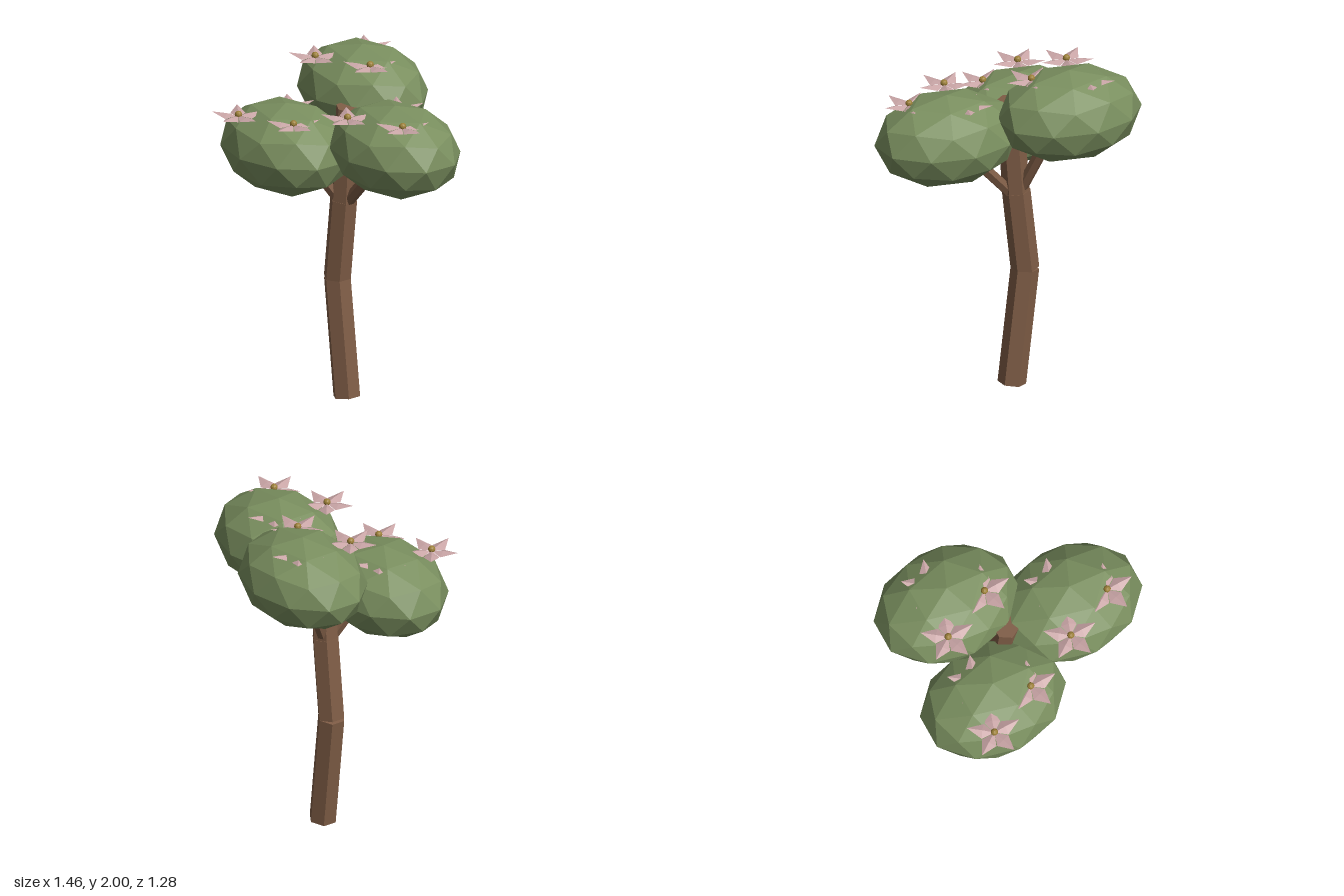
import * as THREE from 'three';

const bark = new THREE.MeshStandardMaterial({ color: 0x7f5d46 });
const leaf = new THREE.MeshStandardMaterial({ color: 0x7a8f5f });
const petalPink = new THREE.MeshStandardMaterial({ color: 0xc9a5a6, side: THREE.DoubleSide });
const pollen = new THREE.MeshStandardMaterial({ color: 0x9c8038 });
bark.name = 'bark';
leaf.name = 'leaf';
petalPink.name = 'petalPink';
pollen.name = 'pollen';
for (const m of [bark, leaf, petalPink, pollen]) m.flatShading = true;

const UP = new THREE.Vector3(0, 1, 0);

// Six-sided limb running between two points
function limb(name, from, to, rBottom, rTop = rBottom) {
  const a = new THREE.Vector3(...from), b = new THREE.Vector3(...to);
  const mesh = new THREE.Mesh(new THREE.CylinderGeometry(rTop, rBottom, a.distanceTo(b), 6), bark);
  mesh.position.copy(a).lerp(b, 0.5);
  mesh.quaternion.setFromUnitVectors(UP, b.sub(a).normalize());
  mesh.name = name;
  return mesh;
}

// Faceted ball with one corner at the top and one of the upper ring toward +x
function facetedBall(detail) {
  const g = new THREE.IcosahedronGeometry(1, detail);
  g.rotateX(-Math.atan((1 + Math.sqrt(5)) / 2));
  g.rotateY(Math.PI / 2);
  return g;
}

// Pointed petal along +x, creased down the middle
function petalGeometry() {
  const base = [0, 0, 0], tip = [0.157, 0.012, 0], ridge = [0.07, 0.01, 0];
  const sideA = [0.066, -0.009, 0.045], sideB = [0.066, -0.009, -0.045];
  const tris = [base, sideA, ridge, sideA, tip, ridge, base, ridge, sideB, sideB, ridge, tip];
  const g = new THREE.BufferGeometry();
  g.setAttribute('position', new THREE.Float32BufferAttribute(tris.flat(), 3));
  g.computeVertexNormals();
  return g;
}

export function createModel() {
  const tree = new THREE.Group();
  tree.name = 'tree';

  // Bent trunk with a stub rising between the crowns
  const z = -0.032;
  tree.add(
    limb('lowerTrunk', [-0.108, 0.01, z], [-0.193, 0.7, z], 0.081),
    limb('upperTrunk', [-0.193, 0.7, z], [-0.136, 1.19, z], 0.081),
    limb('trunkStub', [-0.137, 1.17, z], [-0.09, 1.755, z], 0.078, 0.075)
  );

  // One branch for each crown
  tree.add(
    limb('rightBranch', [-0.13, 1.15, z], [0.22, 1.53, z], 0.035),
    limb('frontBranch', [-0.14, 1.15, z], [-0.23, 1.45, 0.16], 0.035),
    limb('backBranch', [-0.14, 1.15, z], [-0.25, 1.6, -0.24], 0.035)
  );

  const crownGeo = facetedBall(1);
  const petalGeo = petalGeometry();
  const centreGeo = facetedBall(1).scale(0.021, 0.021, 0.021);

  function flower() {
    const g = new THREE.Group();
    g.name = 'flower';
    for (let i = 0; i < 5; i++) {
      const petal = new THREE.Mesh(petalGeo, petalPink);
      petal.rotation.y = -i * Math.PI * 2 / 5;
      petal.name = 'petal';
      g.add(petal);
    }
    const centre = new THREE.Mesh(centreGeo, pollen);
    centre.position.y = 0.009;
    centre.name = 'flowerCentre';
    g.add(centre);
    return g;
  }

  // Three crowns, each with the same scatter of flowers on top
  const crowns = {
    frontCrown: [-0.319, 1.512, 0.24],
    backCrown: [-0.319, 1.737, -0.315],
    rightCrown: [0.317, 1.615, -0.038]
  };
  const flowerSpots = [[-0.121, 0.207, 0.245], [0.19, 0.207, 0.097], [-0.075, 0.207, -0.079]];
  for (const [name, pos] of Object.entries(crowns)) {
    const group = new THREE.Group();
    group.name = name;
    group.position.set(...pos);
    const foliage = new THREE.Mesh(crownGeo, leaf);
    foliage.scale.set(0.433, 0.263, 0.333);
    foliage.name = 'foliage';
    group.add(foliage);
    for (const spot of flowerSpots) {
      const f = flower();
      f.position.set(...spot);
      group.add(f);
    }
    tree.add(group);
  }
  return tree;
}
